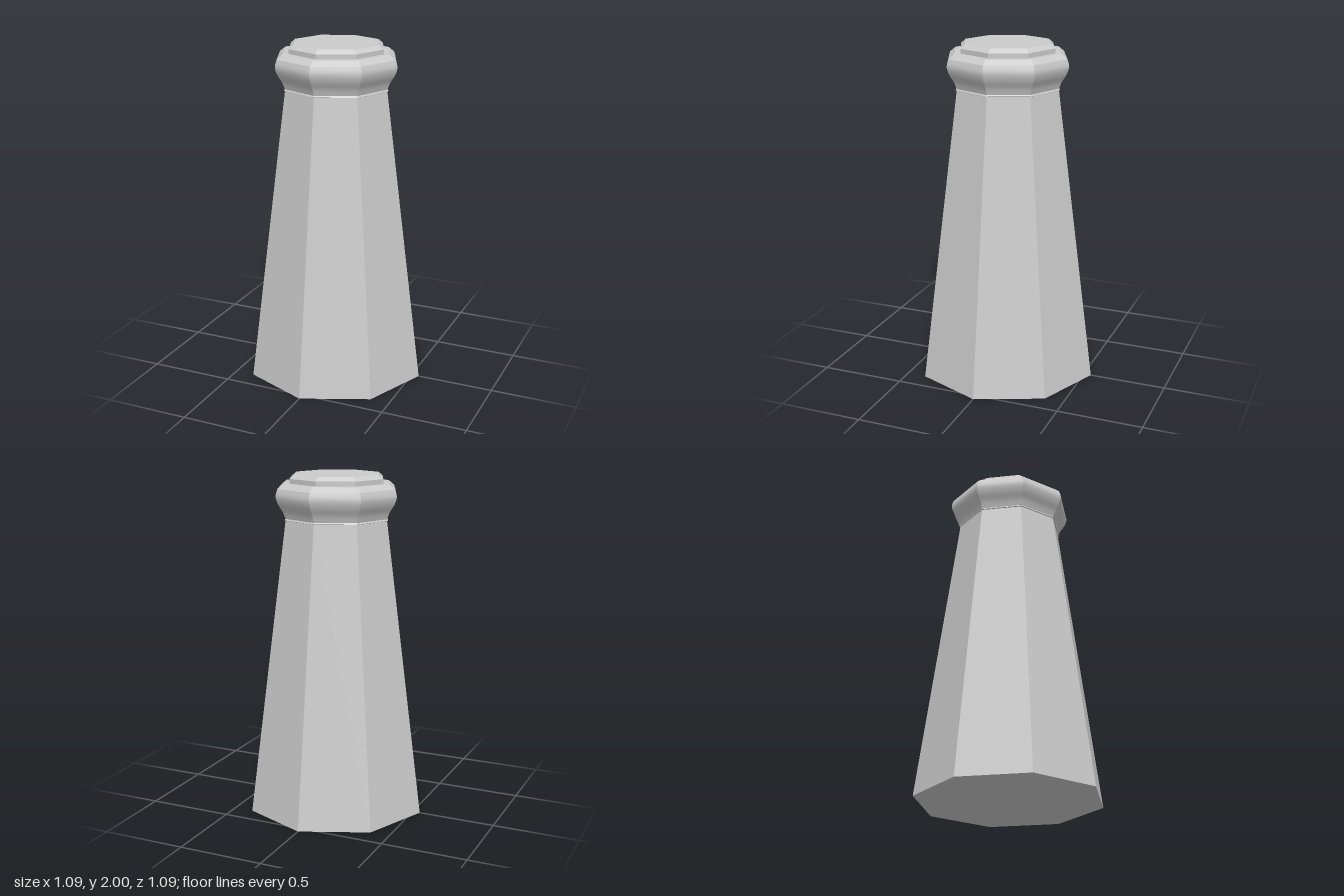
import * as THREE from 'three';
import { toCreasedNormals } from 'three/addons/utils/BufferGeometryUtils.js';

const material = new THREE.MeshStandardMaterial({ color: 0xcccccc });

// Eight-sided turned part; facets stay sharp, gentle profile curves stay smooth
function octagonal(name, points) {
  const profile = points.map((p) => (p.isVector2 ? p : new THREE.Vector2(...p)));
  const geometry = toCreasedNormals(new THREE.LatheGeometry(profile, 8), 0.5);
  const mesh = new THREE.Mesh(geometry, material);
  mesh.name = name;
  return mesh;
}

export function createModel() {
  const model = new THREE.Group();
  model.name = 'octagonalPillar';

  // Tapering shaft with closed base
  model.add(octagonal('shaft', [[0, 0], [0.545, 0], [0.312, 1.75], [0, 1.75]]));

  // Thin lip where the shaft meets the collar
  model.add(octagonal('lip', [[0.3, 1.735], [0.319, 1.743], [0.313, 1.752], [0.3, 1.752]]));

  // Bulging collar with a bevelled upper edge
  const bulge = new THREE.SplineCurve([
    [0.313, 1.75], [0.329, 1.79], [0.357, 1.835], [0.371, 1.88], [0.36, 1.922],
  ].map((p) => new THREE.Vector2(...p))).getPoints(14);
  model.add(octagonal('collar', [[0, 1.75], ...bulge, [0.325, 1.95], [0, 1.95]]));

  // Low bevelled cap
  model.add(octagonal('cap', [[0.288, 1.94], [0.288, 1.977], [0.26, 2], [0, 2]]));

  return model;
}
